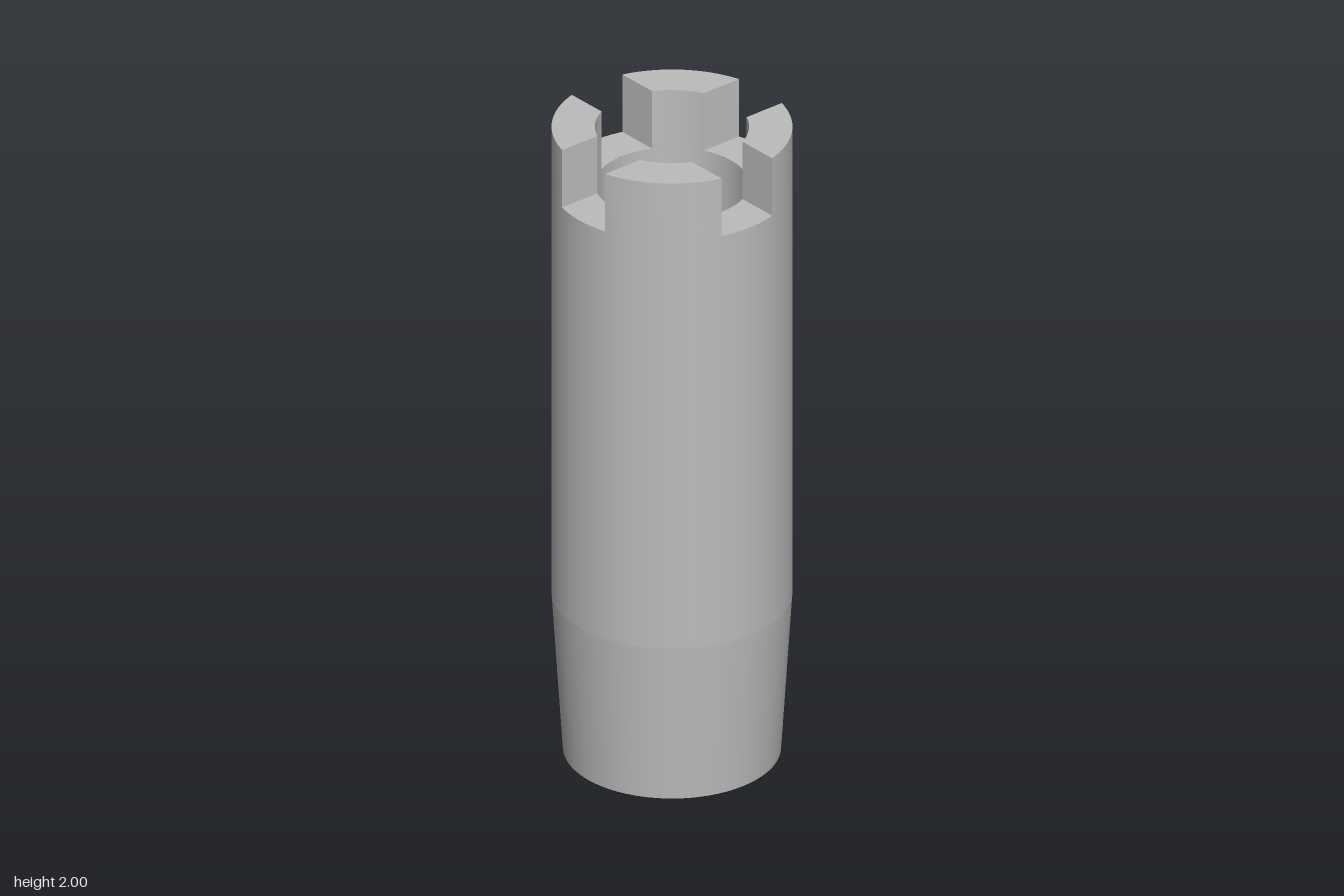
import * as THREE from 'three';
import { mergeGeometries, toCreasedNormals } from 'three/addons/utils/BufferGeometryUtils.js';

const OUTER = 0.342, BORE = 0.219, FOOT = 0.31;
const TAPER_Y = 0.5, SLOT_Y = 1.815, TOP_Y = 2, SLOT_HALF = 0.094;

// Angles at which the parallel slot walls meet the outer and inner circles
const outerAngle = Math.asin(SLOT_HALF / OUTER);
const innerAngle = Math.asin(SLOT_HALF / BORE);

// Piece of the ring between two outer angles and two inner angles
function ringPiece(o0, o1, i0, i1) {
  const s = new THREE.Shape();
  s.absarc(0, 0, OUTER, o0, o1, false);
  s.absarc(0, 0, BORE, i1, i0, true);
  s.closePath();
  return s;
}

// Revolve each straight run of a profile separately so its edges stay sharp
function revolve(profile) {
  const runs = [];
  for (let i = 0; i < profile.length - 1; i++) {
    const pts = [profile[i], profile[i + 1]].map(([r, y]) => new THREE.Vector2(r, y));
    runs.push(new THREE.LatheGeometry(pts, 96));
  }
  return mergeGeometries(runs);
}

// Remove downward faces that would be buried in the sleeve
function dropUnderside(geometry) {
  const g = geometry.index ? geometry.toNonIndexed() : geometry;
  const p = g.attributes.position, n = g.attributes.normal, kept = [];
  for (let i = 0; i < p.count; i += 3) {
    if (n.getY(i) < -0.9) continue;
    for (let k = i; k < i + 3; k++) kept.push(p.getX(k), p.getY(k), p.getZ(k));
  }
  const out = new THREE.BufferGeometry();
  out.setAttribute('position', new THREE.Float32BufferAttribute(kept, 3));
  return toCreasedNormals(out, 0.5);
}

export function createModel() {
  const model = new THREE.Group();
  model.name = 'slottedSleeve';
  const metal = new THREE.MeshStandardMaterial({ color: 0xbcbcbc });
  metal.name = 'grey metal';

  // Hollow sleeve: bore, foot ring, tapered foot and straight wall
  const sleeve = new THREE.Mesh(revolve([
    [BORE, SLOT_Y], [BORE, 0], [FOOT, 0], [OUTER, TAPER_Y], [OUTER, SLOT_Y],
  ]), metal);
  sleeve.name = 'sleeve';
  model.add(sleeve);

  // Four prongs with parallel-sided slots between them
  const quarter = Math.PI / 2;
  const prongGeometry = dropUnderside(new THREE.ExtrudeGeometry(
    ringPiece(outerAngle, quarter - outerAngle, innerAngle, quarter - innerAngle),
    { depth: TOP_Y - SLOT_Y, bevelEnabled: false, curveSegments: 24 },
  ).rotateX(-quarter));
  const floorGeometry = new THREE.ShapeGeometry(
    ringPiece(-outerAngle, outerAngle, -innerAngle, innerAngle), 16,
  ).rotateX(-quarter);

  for (let i = 0; i < 4; i++) {
    const prong = new THREE.Mesh(prongGeometry, metal);
    prong.name = `prong${i + 1}`;
    const slotFloor = new THREE.Mesh(floorGeometry, metal);
    slotFloor.name = `slotFloor${i + 1}`;
    for (const part of [prong, slotFloor]) {
      part.position.y = SLOT_Y;
      part.rotation.y = i * quarter;
      model.add(part);
    }
  }
  return model;
}
